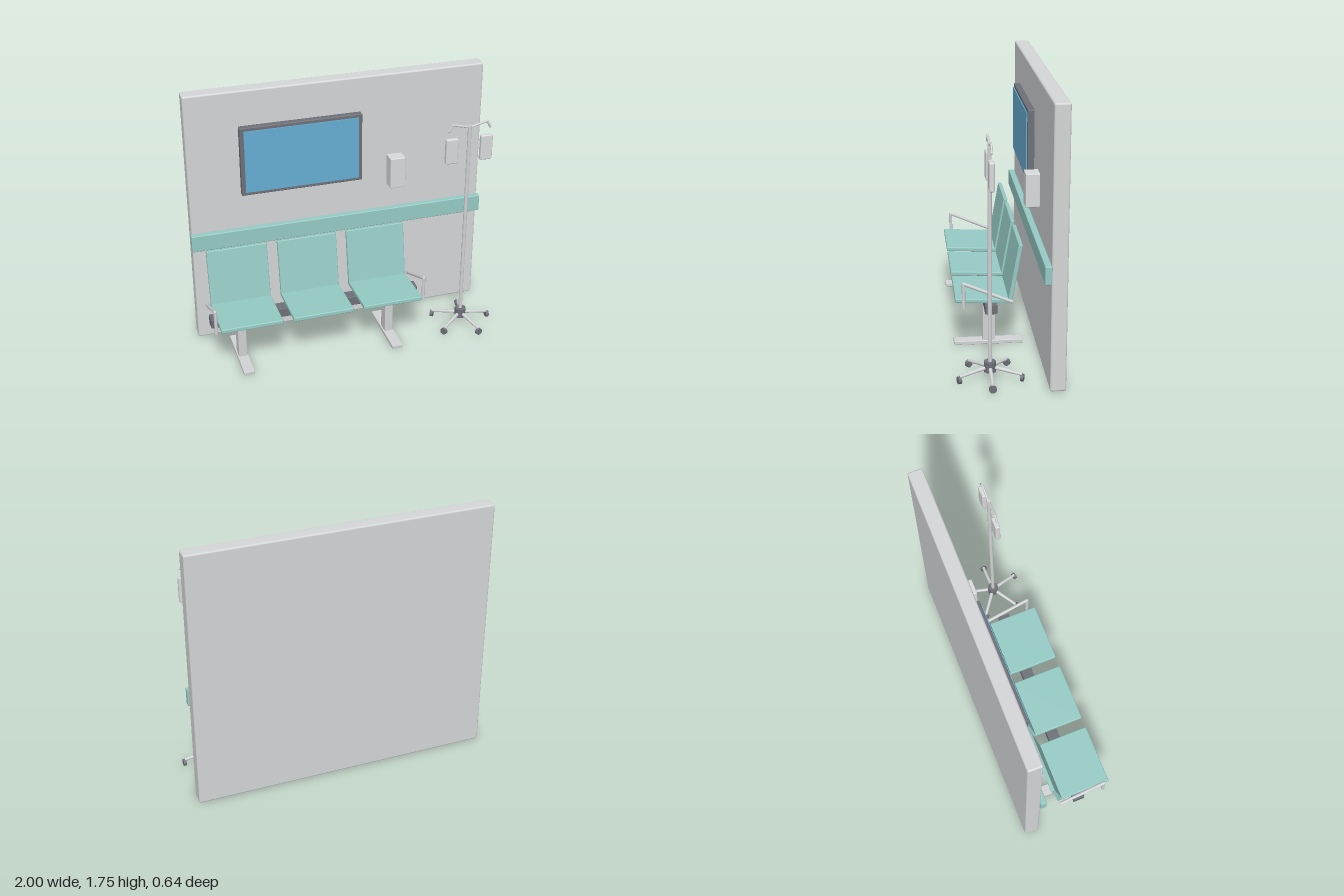
import * as THREE from 'three';
import { RoundedBoxGeometry } from 'three/addons/geometries/RoundedBoxGeometry.js';

const mat = (name, color) => {
  const m = new THREE.MeshStandardMaterial({ color });
  m.name = name;
  return m;
};

export function createModel() {
  const wallGrey = mat('wall grey', 0xd4d5d6);
  const teal = mat('teal', 0x95cac4);
  const dark = mat('dark grey', 0x6e7078);
  const metal = mat('pale metal', 0xd0d2d4);
  const plastic = mat('white plastic', 0xd8d9da);
  const blue = mat('screen blue', 0x66aed4);

  const model = new THREE.Group();
  model.name = 'waitingArea';

  const group = (name, parent = model) => {
    const g = new THREE.Group();
    g.name = name;
    parent.add(g);
    return g;
  };
  const add = (name, geo, material, parent, x = 0, y = 0, z = 0) => {
    const mesh = new THREE.Mesh(geo, material);
    mesh.name = name;
    mesh.position.set(x, y, z);
    parent.add(mesh);
    return mesh;
  };
  const box = (name, w, h, d, r, material, parent, x, y, z) =>
    add(name, new RoundedBoxGeometry(w, h, d, 2, r), material, parent, x, y, z);

  // Round bar between two points
  const bar = (name, a, b, r, material, parent, r2 = r) => {
    const from = new THREE.Vector3(...a), to = new THREE.Vector3(...b);
    const dir = to.clone().sub(from);
    const mesh = add(name, new THREE.CylinderGeometry(r2, r, dir.length(), 14), material, parent);
    mesh.position.copy(from).add(to).multiplyScalar(0.5);
    mesh.quaternion.setFromUnitVectors(new THREE.Vector3(0, 1, 0), dir.normalize());
    return mesh;
  };
  const joint = (name, p, r, material, parent) =>
    add(name, new THREE.SphereGeometry(r, 14, 10), material, parent, ...p);

  // Wall with its protective rail
  box('wall', 1.985, 1.75, 0.097, 0.012, wallGrey, model, 0, 0.875, -0.2715);
  box('wallRail', 2, 0.115, 0.041, 0.006, teal, model, 0, 0.74, -0.2035);

  // Wall screen
  const screen = group('wallScreen');
  box('screenFrame', 0.805, 0.47, 0.045, 0.006, dark, screen, -0.2525, 1.28, -0.202);
  add('screenPanel', new THREE.BoxGeometry(0.755, 0.425, 0.008), blue, screen, -0.2525, 1.28, -0.177);

  // Dispenser
  box('dispenser', 0.105, 0.215, 0.09, 0.006, plastic, model, 0.385, 1.078, -0.18);

  // Bench
  const bench = group('bench');
  const benchX = -0.255;
  box('beam', 1.405, 0.065, 0.076, 0.004, dark, bench, benchX, 0.308, 0.077);

  for (const side of [-1, 1]) {
    const x = benchX + side * 0.505;
    box('benchPost', 0.055, 0.28, 0.082, 0.004, metal, bench, x, 0.158, 0.077);
    box('benchFoot', 0.072, 0.025, 0.445, 0.004, metal, bench, x, 0.0125, 0.08);

    // Armrest: sloping bar with a front upright
    const arm = group('armrest', bench);
    const ax = benchX + side * 0.695;
    const front = [ax, 0.485, 0.25], rear = [ax, 0.355, -0.052];
    bar('armrestBar', rear, front, 0.011, metal, arm);
    bar('armrestUpright', [ax, 0.322, 0.25], front, 0.011, metal, arm);
    joint('armrestCorner', front, 0.011, metal, arm);
    joint('armrestEnd', rear, 0.011, metal, arm);
  }

  for (const i of [-1, 0, 1]) {
    const seat = group('chair', bench);
    seat.position.x = benchX + i * 0.47;
    box('seat', 0.4, 0.028, 0.366, 0.006, teal, seat, 0, 0.354, 0.118).rotation.x = -0.045;
    box('backrest', 0.4, 0.378, 0.027, 0.006, teal, seat, 0, 0.535, -0.079).rotation.x = -0.175;
  }

  // Infusion stand
  const stand = group('infusionStand');
  stand.position.set(0.77, 0, 0.115);
  bar('pole', [0, 0.07, 0], [0, 1.48, 0], 0.0125, metal, stand);
  add('hub', new THREE.CylinderGeometry(0.037, 0.037, 0.066, 20), dark, stand, 0, 0.078, 0);

  for (let i = 0; i < 5; i++) {
    const leg = group('standLeg', stand);
    leg.rotation.y = (i * Math.PI * 2) / 5;
    bar('legBar', [0.02, 0.074, 0], [0.198, 0.044, 0], 0.012, metal, leg, 0.01);
    const wheel = add('caster', new THREE.CylinderGeometry(0.023, 0.023, 0.02, 18), dark, leg, 0.2, 0.023, 0);
    wheel.rotation.z = Math.PI / 2;
  }

  // Hooks and hanging bags
  for (const side of [-1, 1]) {
    const hook = group('hook', stand);
    const peak = [side * 0.117, 1.494, 0], tip = [side * 0.141, 1.452, 0];
    bar('hookArm', [0, 1.465, 0], peak, 0.0075, metal, hook);
    bar('hookTip', peak, tip, 0.0075, metal, hook);
    joint('hookBend', peak, 0.0075, metal, hook);
    joint('hookEnd', tip, 0.0075, metal, hook);
    box('fluidBag', 0.082, 0.172, 0.032, 0.008, plastic, stand, side * 0.118, 1.314, 0);
  }

  return model;
}
